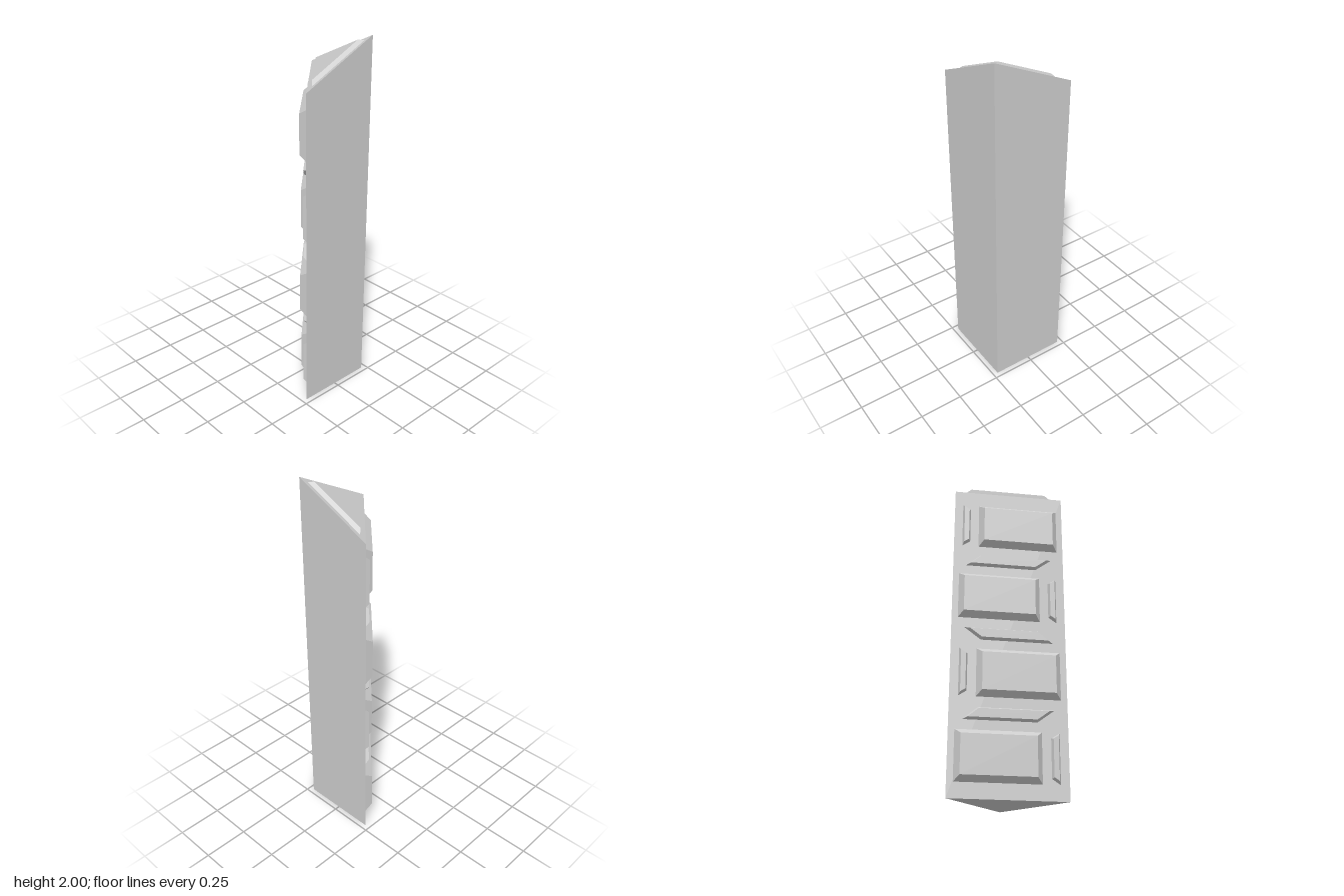
import * as THREE from 'three';

const material = new THREE.MeshStandardMaterial({ color: 0xcccccc, flatShading: true });

// Closed solid between two matching convex loops, counter-clockwise seen from the top loop
function loft(name, base, top) {
  const pos = [];
  const tri = (...pts) => pts.forEach((p) => pos.push(...p));
  const n = base.length;
  for (let i = 0; i < n; i++) {
    const j = (i + 1) % n;
    tri(base[i], base[j], top[j]);
    tri(base[i], top[j], top[i]);
  }
  for (let i = 1; i < n - 1; i++) {
    tri(top[0], top[i], top[i + 1]);
    tri(base[0], base[i + 1], base[i]);
  }
  const geo = new THREE.BufferGeometry();
  geo.setAttribute('position', new THREE.Float32BufferAttribute(pos, 3));
  geo.computeVertexNormals();
  const mesh = new THREE.Mesh(geo, material);
  mesh.name = name;
  return mesh;
}

// Moves every edge of a counter-clockwise polygon inward by d
function inset(pts, d) {
  const n = pts.length;
  const normal = (a, b) => {
    const l = Math.hypot(b[0] - a[0], b[1] - a[1]);
    return [-(b[1] - a[1]) / l, (b[0] - a[0]) / l];
  };
  return pts.map((p, i) => {
    const a = normal(pts[(i + n - 1) % n], p);
    const b = normal(p, pts[(i + 1) % n]);
    const k = d / (1 + a[0] * b[0] + a[1] * b[1]);
    return [p[0] + (a[0] + b[0]) * k, p[1] + (a[1] + b[1]) * k];
  });
}

// Raised panel with bevelled sides, optionally mirrored left to right
function panel(name, outline, bevel, depth, mirror) {
  const pts = mirror ? outline.map(([x, y]) => [-x, y]).reverse() : outline;
  return loft(name,
    pts.map(([x, y]) => [x, y, 0]),
    inset(pts, bevel).map(([x, y]) => [x, y, depth]));
}

export function createModel() {
  const model = new THREE.Group();
  model.name = 'triangularPillar';

  // Three-sided shaft with a slanted top
  const R = 0.222;
  const slope = (x, z, lift = 0) => [x, 1.79 + 0.473 * (x + z) + lift, z];
  const corners = [[-R, R], [R, R], [R, -R]];
  model.add(loft('shaft',
    corners.map(([x, z]) => [x, 0, z]),
    corners.map(([x, z]) => slope(x, z))));

  // Raised triangle on the slanted top
  model.add(loft('topPanel',
    [[-0.157, 0.193], [0.193, 0.193], [0.193, -0.157]].map(([x, z]) => slope(x, z)),
    [[-0.138, 0.171], [0.171, 0.171], [0.171, -0.138]].map(([x, z]) => slope(x, z, 0.024))));

  // Carved wide face: four rows of panels, alternating left and right
  const face = new THREE.Group();
  face.name = 'carvedFace';
  face.rotation.y = -Math.PI * 0.75;
  for (let row = 0; row < 4; row++) {
    const y = 1.43 - row * 0.449;
    const flip = row % 2 === 1;
    face.add(panel('largePanel',
      [[-0.174, y], [0.28, y], [0.28, y + 0.27], [-0.174, y + 0.27]], 0.029, 0.037, flip));
    face.add(panel('narrowPanel',
      [[-0.267, y], [-0.222, y + 0.03], [-0.222, y + 0.24], [-0.267, y + 0.27]], 0.009, 0.02, flip));
    // Slanted strip between rows
    if (row < 3) {
      face.add(panel('slantedStrip',
        [[-0.243, y - 0.126], [0.152, y - 0.126], [0.243, y - 0.058], [-0.162, y - 0.058]], 0.01, 0.02, flip));
    }
  }
  model.add(face);
  return model;
}
